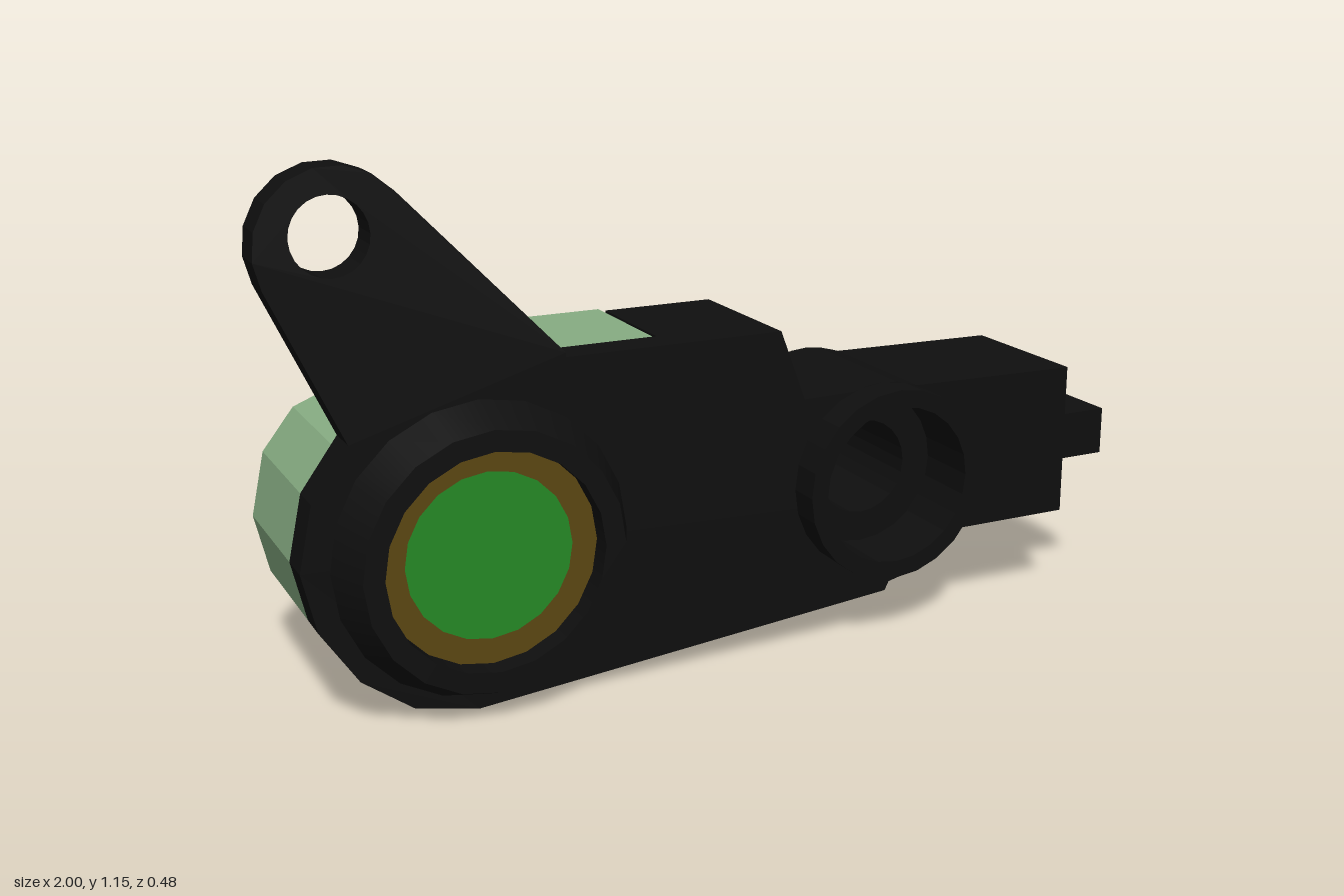
import * as THREE from 'three';

const paint = (name, color, side = THREE.FrontSide) => {
  const m = new THREE.MeshStandardMaterial({ color, side });
  m.name = name;
  return m;
};

// Closed outline in the x-y plane with optional round holes [x, y, radius]
function outline(points, holes = []) {
  const shape = new THREE.Shape(points.map(([x, y]) => new THREE.Vector2(x, y)));
  for (const [x, y, r] of holes) shape.holes.push(new THREE.Path().absarc(x, y, r, 0, Math.PI * 2, true));
  return shape;
}

// Extrude an outline from z0 to z1
function slab(shape, z0, z1) {
  const g = new THREE.ExtrudeGeometry(shape, { depth: z1 - z0, bevelEnabled: false, curveSegments: 12 });
  return g.translate(0, 0, z0);
}

// Points on an arc, angles in degrees
function arc(cx, cy, r, from, to, steps) {
  return Array.from({ length: steps + 1 }, (_, i) => {
    const a = THREE.MathUtils.degToRad(from + (to - from) * i / steps);
    return [cx + r * Math.cos(a), cy + r * Math.sin(a)];
  });
}

export function createModel() {
  const group = new THREE.Group();
  const black = paint('black', 0x0f0f0f, THREE.DoubleSide);
  const sage = paint('sage green', 0x87ad83);
  const green = paint('lens green', 0x268a26);
  const bronze = paint('bronze', 0x5c4712);
  const add = (name, geometry, material) => {
    const mesh = new THREE.Mesh(geometry, material);
    mesh.name = name;
    group.add(mesh);
    return mesh;
  };

  const eye = [0.38, 0.37];
  const lens = [-0.57, 0.35];

  // Right-hand edge shared by the body and the front plate, bottom to top
  const armEdge = [
    [0.40, 0.09], [0.41, 0.11], [0.45, 0.12], [0.47, 0.17], [0.54, 0.21],
    [0.89, 0.21], [0.89, 0.565], [0.47, 0.572],
    ...arc(...eye, 0.22, 70, 110, 4),
    [0.18, 0.575], [0.12, 0.735],
  ];
  const roundEnd = [[-0.84, 0.61], [-0.92, 0.50], [-0.95, 0.36], [-0.92, 0.23],
    [-0.84, 0.11], [-0.73, 0.03], [-0.59, 0.0]];

  // Body block behind, and the full-length plate with a wider recess in front
  add('body', slab(outline([[-0.14, 0.042], ...armEdge, [-0.14, 0.735]], [[...eye, 0.11]]), -0.2, 0.07), black);
  add('frontPlate', slab(outline([...roundEnd, ...armEdge, [-0.38, 0.735]], [[...eye, 0.18]]), 0.07, 0.15), black);

  // Tab at the end of the arm
  add('endTab', new THREE.BoxGeometry(0.13, 0.11, 0.35).translate(0.935, 0.395, -0.025), black);

  // Raised ring around the through hole
  add('holeBoss', slab(outline(arc(...eye, 0.22, 0, 345, 23), [[...eye, 0.18]]), 0.15, 0.225), black);

  // Mounting lug, leaning slightly backwards
  const lug = slab(outline([
    [-0.84, 0.61], [-0.38, 0.735], [-0.38, 0.745],
    ...arc(-0.84, 0.995, 0.16, 40, 205, 8),
  ], [[-0.85, 1.02, 0.08]]), 0.07, 0.15);
  const p = lug.attributes.position;
  for (let i = 0; i < p.count; i++) p.setZ(i, p.getZ(i) - 0.06 * Math.max(0, p.getY(i) - 0.745));
  lug.computeVertexNormals();
  add('mountingLug', lug, black);

  // Rear cover
  add('rearCover', slab(outline([
    ...roundEnd.slice(1), [-0.14, 0.04], [-0.14, 0.73], [-0.36, 0.73],
    [-0.385, 0.737], [-0.42, 0.762], [-0.85, 0.59],
  ]), -0.24, 0.07), sage);

  // Tapered bezel with a recessed lens and trim ring
  const profile = [[0.32, 0.15], [0.28, 0.24], [0.28, 0.24], [0.235, 0.24], [0.235, 0.24], [0.235, 0.185]];
  const bezel = new THREE.LatheGeometry(profile.map(([r, h]) => new THREE.Vector2(r, h)), 20);
  add('lensBezel', bezel.rotateX(Math.PI / 2).translate(...lens, 0), black);
  add('lensTrim', new THREE.RingGeometry(0.18, 0.236, 20).translate(...lens, 0.19), bronze);
  add('lens', new THREE.CircleGeometry(0.18, 20).translate(...lens, 0.19), green);

  return group;
}
